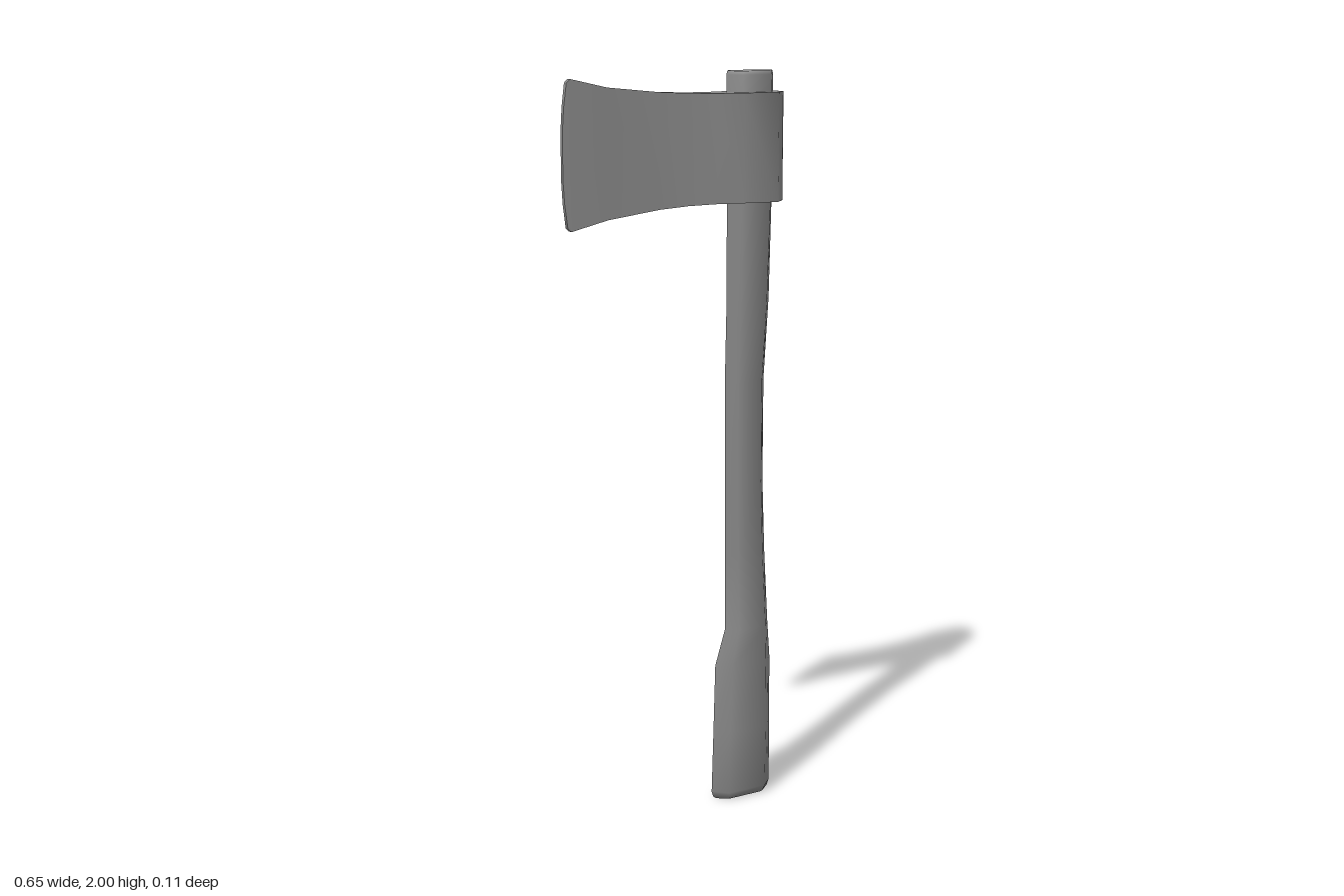
import * as THREE from 'three';
import { toCreasedNormals } from 'three/addons/utils/BufferGeometryUtils.js';

// Skin a list of rings (each counter-clockwise about the loft direction) and cap both ends
function loft(rings, crease) {
  const n = rings[0].length;
  const index = [];
  for (let i = 0; i < rings.length - 1; i++) {
    for (let j = 0; j < n; j++) {
      const a = i * n + j, b = i * n + (j + 1) % n;
      index.push(a, b, b + n, a, b + n, a + n);
    }
  }
  const last = (rings.length - 1) * n;
  for (let j = 1; j < n - 1; j++) {
    index.push(0, j + 1, j, last, last + j, last + j + 1);
  }
  const geometry = new THREE.BufferGeometry();
  geometry.setAttribute('position', new THREE.Float32BufferAttribute(rings.flat(2), 3));
  geometry.setIndex(index);
  return toCreasedNormals(geometry, crease);
}

// Six-sided handle section, pointed towards -x and +x
function handleRing([y, x0, x1, h]) {
  const inset = (x1 - x0) * 0.19;
  return [
    [x1, y, 0], [x1 - inset, y, -h], [x0 + inset, y, -h],
    [x0, y, 0], [x0 + inset, y, h], [x1 - inset, y, h],
  ];
}

// Rectangular head section across x
function headRing([x, bottom, top, h]) {
  return [[x, top, h], [x, bottom, h], [x, bottom, -h], [x, top, -h]];
}

export function createModel() {
  const group = new THREE.Group();
  group.name = 'axe';
  const material = new THREE.MeshStandardMaterial({ color: 0x8a8a8a });
  const add = (name, geometry) => {
    const mesh = new THREE.Mesh(geometry, material);
    mesh.name = name;
    group.add(mesh);
  };

  // Handle, smooth all round: y, min x, max x, half thickness
  add('handle', loft([
    [0, 0.14, 0.302, 0.022],
    [0.006, 0.131, 0.31, 0.029],
    [0.022, 0.125, 0.316, 0.034],
    [0.2, 0.13, 0.316, 0.034],
    [0.39, 0.135, 0.314, 0.034],
    [0.49, 0.166, 0.306, 0.031],
    [0.7, 0.165, 0.293, 0.028],
    [0.9, 0.163, 0.285, 0.028],
    [1.18, 0.161, 0.285, 0.028],
    [1.4, 0.165, 0.299, 0.03],
    [1.66, 0.164, 0.305, 0.035],
    [1.99, 0.16, 0.306, 0.037],
    [2, 0.163, 0.303, 0.035],
  ].map(handleRing), 1.65));

  // Head, from the curved cutting edge to the blunt back: x, bottom, top, half thickness
  add('axeHead', loft([
    [-0.325, 1.74, 1.86, 0.005],
    [-0.321, 1.68, 1.92, 0.0055],
    [-0.313, 1.62, 1.98, 0.006],
    [-0.303, 1.611, 1.989, 0.007],
    [-0.2, 1.635, 1.966, 0.011],
    [-0.05, 1.654, 1.951, 0.016],
    [0.03, 1.66, 1.947, 0.027],
    [0.11, 1.662, 1.945, 0.039],
    [0.18, 1.662, 1.945, 0.056],
    [0.288, 1.66, 1.945, 0.056],
    [0.319, 1.66, 1.945, 0.028],
    [0.324, 1.66, 1.945, 0.023],
  ].map(headRing), 0.9));

  return group;
}
